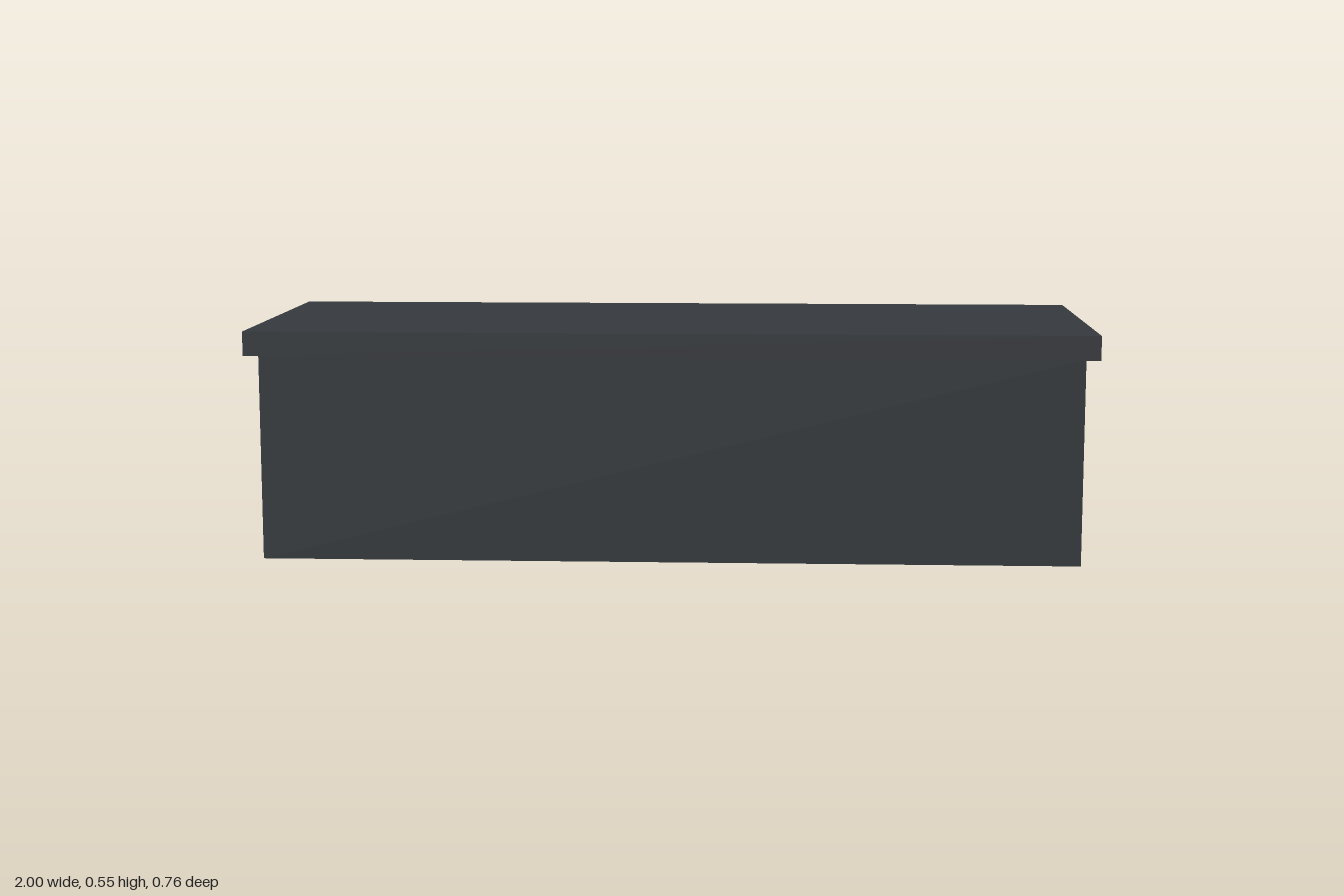
import * as THREE from 'three';

const dark = new THREE.MeshStandardMaterial({ color: 0x35393d });
const metal = new THREE.MeshStandardMaterial({ color: 0xb8bec4 });

// Box given by its width (centred on x) and its y and z limits
function slab(name, width, [y0, y1], [z0, z1], material) {
  const mesh = new THREE.Mesh(new THREE.BoxGeometry(width, y1 - y0, z1 - z0), material);
  mesh.position.set(0, (y0 + y1) / 2, (z0 + z1) / 2);
  mesh.name = name;
  return mesh;
}

export function createModel() {
  const group = new THREE.Group();
  group.name = 'storageBox';

  // Main chest
  group.add(slab('body', 1.94, [0, 0.49], [-0.337, 0.354], dark));

  // Overhanging lid
  group.add(slab('lid', 2, [0.49, 0.548], [-0.366, 0.383], dark));

  // Latch on the back wall
  group.add(slab('latch', 0.146, [0.29, 0.376], [-0.381, -0.337], metal));

  return group;
}
